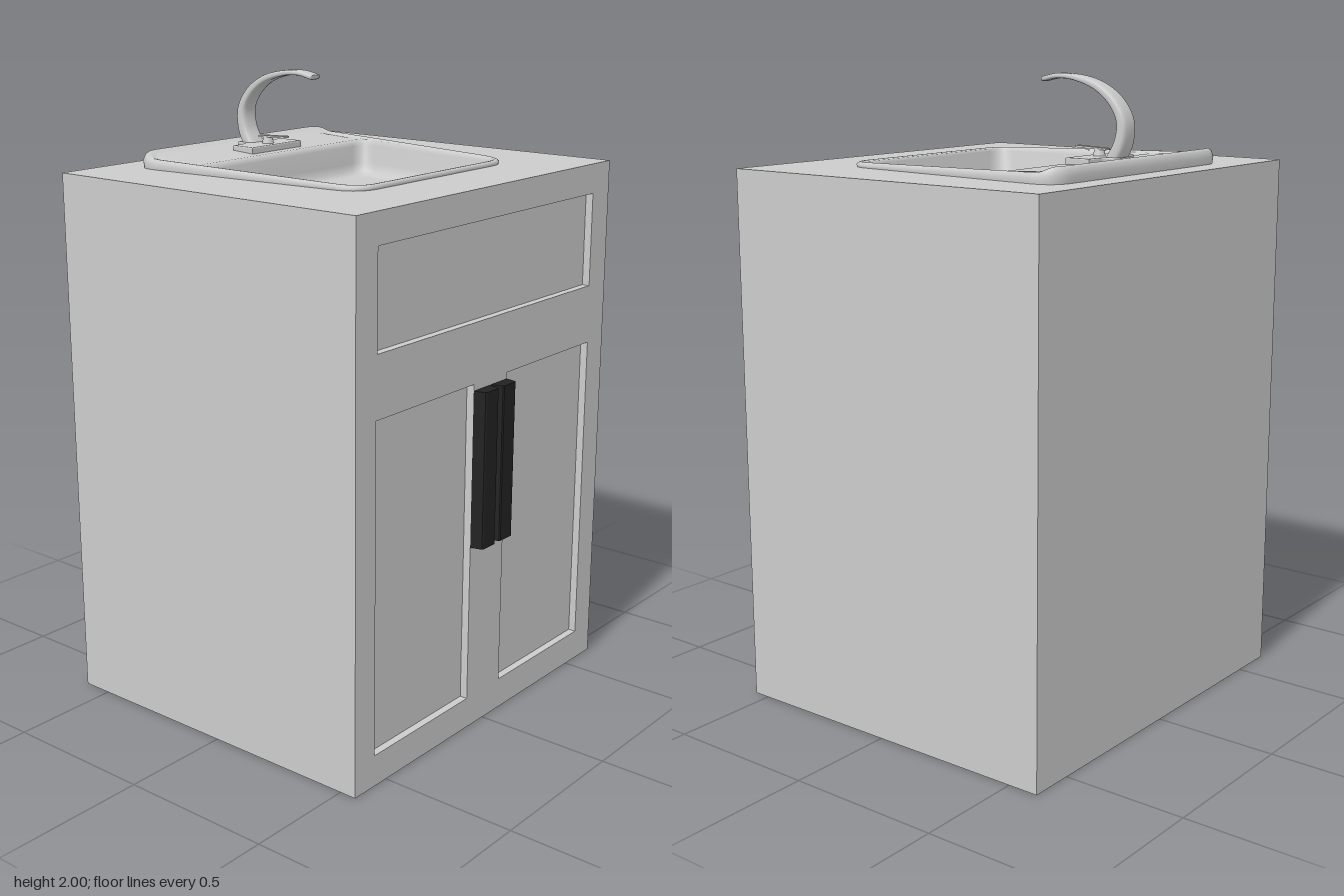
import * as THREE from 'three';

const grey = new THREE.MeshStandardMaterial({ color: 0xcccccc, side: THREE.DoubleSide });
const black = new THREE.MeshStandardMaterial({ color: 0x222222 });
const CZ = -0.014; // basin and faucet centre line
const TOP = 1.715; // counter height
const FACE = 0.53; // depth at which the recessed panels lie

function add(parent, name, geometry, material = grey) {
  const mesh = new THREE.Mesh(geometry, material);
  mesh.name = name;
  parent.add(mesh);
  return mesh;
}

function box(parent, name, x0, x1, y0, y1, z0, z1) {
  const g = new THREE.BoxGeometry(x1 - x0, y1 - y0, z1 - z0);
  g.translate((x0 + x1) / 2, (y0 + y1) / 2, (z0 + z1) / 2);
  return add(parent, name, g);
}

function rect(Type, x0, x1, y0, y1) {
  return new Type([[x0, y0], [x1, y0], [x1, y1], [x0, y1]].map(p => new THREE.Vector2(...p)));
}

// Skin through closed rings that share a point count
function loft(rings) {
  const n = rings[0].length, index = [];
  for (let j = 0; j < rings.length - 1; j++) {
    for (let i = 0; i < n; i++) {
      const a = j * n + i, b = j * n + (i + 1) % n;
      index.push(a, b, b + n, a, b + n, a + n);
    }
  }
  const g = new THREE.BufferGeometry().setFromPoints(rings.flat());
  g.setIndex(index);
  g.computeVertexNormals();
  return g;
}

// Rounded trapezoid: half width h0 at x0, h1 at x1, corner reach r
function outline(x0, x1, h0, h1, r) {
  const c = [[x0, h0], [x1, h1], [x1, -h1], [x0, -h0]].map(p => new THREE.Vector2(...p));
  const points = [];
  c.forEach((p, i) => {
    const toward = q => p.clone().add(q.clone().sub(p).setLength(r));
    const next = c[(i + 1) % 4];
    const end = toward(next);
    const nextStart = next.clone().add(p.clone().sub(next).setLength(r));
    points.push(...new THREE.QuadraticBezierCurve(toward(c[(i + 3) % 4]), p, end).getPoints(10));
    for (let k = 1; k < 16; k++) points.push(end.clone().lerp(nextStart, k / 16));
  });
  return points;
}

function buildCabinet(group) {
  box(group, 'lowerCarcass', -0.6, FACE, 0, 1.23, -0.645, 0.645);
  box(group, 'upperCarcass', -0.6, FACE, 1.23, 1.6, -0.645, 0.645);

  // Counter with an opening for the bowl
  const counter = rect(THREE.Shape, -0.6, FACE, -0.645, 0.645);
  counter.holes.push(new THREE.Path(
    outline(-0.48, 0.322, 0.425, 0.36, 0.06).map(p => new THREE.Vector2(p.x, -(p.y + CZ)))));
  const g = new THREE.ExtrudeGeometry(counter, { depth: TOP - 1.6, bevelEnabled: false });
  g.rotateX(-Math.PI / 2).translate(0, 1.6, 0);
  add(group, 'counter', g);

  // Frames around the recessed panels
  const fronts = [
    ['drawerFront', [-0.645, 0.645, 1.23, TOP], [-0.55, 0.55, 1.32, 1.62]],
    ['leftDoor', [0, 0.645, 0, 1.23], [0.088, 0.555, 0.1, 1.13]],
    ['rightDoor', [-0.645, 0, 0, 1.23], [-0.555, -0.088, 0.1, 1.13]],
  ];
  for (const [name, outer, inner] of fronts) {
    const shape = rect(THREE.Shape, ...outer);
    shape.holes.push(rect(THREE.Path, ...inner));
    const frame = new THREE.ExtrudeGeometry(shape, { depth: 0.025, bevelEnabled: false });
    frame.rotateY(Math.PI / 2).translate(FACE, 0, 0);
    add(group, name, frame);
  }

  // Pair of tapered upright handles
  for (const s of [1, -1]) {
    const shape = new THREE.Shape([[0.555, 0.003], [0.592, 0.012], [0.595, 0.016], [0.595, 0.074],
      [0.592, 0.079], [0.555, 0.088]].map(([x, z]) => new THREE.Vector2(x, z * s)));
    const handle = new THREE.ExtrudeGeometry(shape, { depth: 0.5, bevelEnabled: false });
    handle.rotateX(-Math.PI / 2).translate(0, 0.61, 0);
    add(group, 'doorHandle', handle, black);
  }
}

function buildBasin(group) {
  // Rim falls gently toward the front and lifts at the rear edge
  const rimTop = x => 1.737 - 0.022 * x + 0.016 * THREE.MathUtils.smoothstep(-x, 0.44, 0.49);
  const rim = t => x => TOP + (rimTop(x) - TOP) * t;
  const flat = y => () => y;
  const sections = [
    [-0.51, 0.335, 0.447, 0.374, 0.09, rim(0)],
    [-0.512, 0.337, 0.449, 0.376, 0.09, rim(0.45)],
    [-0.507, 0.333, 0.444, 0.371, 0.09, rim(0.85)],
    [-0.497, 0.328, 0.437, 0.365, 0.085, rim(1)],
    [-0.48, 0.322, 0.428, 0.36, 0.08, rim(0.97)],
    [-0.465, 0.318, 0.42, 0.356, 0.07, rim(0.82)],
    [-0.285, 0.314, 0.402, 0.352, 0.05, rim(0.78)],
    [-0.275, 0.309, 0.396, 0.347, 0.05, flat(1.718)],
    [-0.268, 0.298, 0.386, 0.337, 0.055, flat(1.66)],
    [-0.262, 0.288, 0.376, 0.328, 0.06, flat(1.635)],
    [-0.245, 0.272, 0.36, 0.312, 0.06, flat(1.623)],
    [-0.21, 0.24, 0.33, 0.28, 0.06, flat(1.62)],
  ];
  const rings = sections.map(([x0, x1, h0, h1, r, y]) =>
    outline(x0, x1, h0, h1, r).map(p => new THREE.Vector3(p.x, y(p.x), p.y + CZ)));
  rings.push(rings[0].map(() => new THREE.Vector3(0, 1.62, CZ)));
  add(group, 'basin', loft(rings));

  const ring = add(group, 'drainRing', new THREE.TorusGeometry(0.033, 0.005, 8, 32).rotateX(Math.PI / 2));
  ring.position.set(-0.155, 1.621, CZ);
  const plug = add(group, 'drainPlug', new THREE.CylinderGeometry(0.026, 0.028, 0.006, 32));
  plug.position.set(-0.155, 1.622, CZ);
}

function buildFaucet(group) {
  // Base plate with a tongue reaching back to the spout
  const plate = new THREE.Shape();
  plate.moveTo(-0.31, -0.117).lineTo(-0.395, -0.117).lineTo(-0.4, -0.06);
  plate.quadraticCurveTo(-0.405, -0.036, -0.45, -0.034).lineTo(-0.45, 0.034);
  plate.quadraticCurveTo(-0.405, 0.036, -0.4, 0.06).lineTo(-0.395, 0.117).lineTo(-0.31, 0.117);
  const g = new THREE.ExtrudeGeometry(plate, {
    depth: 0.022, bevelSize: 0.003, bevelThickness: 0.004, bevelOffset: -0.003, bevelSegments: 3 });
  g.rotateX(-Math.PI / 2).translate(0, 1.733, CZ);
  add(group, 'faucetPlate', g);

  // Curved spout, thinning toward the tip
  const path = new THREE.CatmullRomCurve3([[-0.405, 1.74], [-0.437, 1.8], [-0.442, 1.865], [-0.41, 1.92],
    [-0.35, 1.964], [-0.27, 1.988], [-0.2, 1.992], [-0.148, 1.982]].map(p => new THREE.Vector3(...p, CZ)));
  const rings = [], steps = 40, z = new THREE.Vector3(0, 0, 1);
  const ringAt = (t, scale) => {
    const c = path.getPointAt(t), T = path.getTangentAt(t);
    const N = new THREE.Vector3(T.y, -T.x, 0), B = T.clone().cross(N);
    const thick = THREE.MathUtils.lerp(0.023, 0.008, Math.min(1, t * 1.25)) * scale;
    const wide = THREE.MathUtils.lerp(0.036, 0.024, t) * scale;
    return Array.from({ length: 24 }, (_, i) => {
      const a = i / 24 * Math.PI * 2, soft = v => Math.sign(v) * Math.abs(v) ** 0.6;
      return c.clone().addScaledVector(N, thick * soft(Math.cos(a))).addScaledVector(B, wide * soft(Math.sin(a)));
    });
  };
  for (let j = 0; j <= steps; j++) rings.push(ringAt(j / steps, 1));
  rings.push(ringAt(1, 0.7), ringAt(1, 0));
  add(group, 'spout', loft(rings));

  // Lever on a short stem
  const stem = add(group, 'leverStem', new THREE.CylinderGeometry(0.014, 0.02, 0.025, 24));
  stem.position.set(-0.35, 1.768, CZ);
  const lever = box(group, 'lever', -0.055, 0.055, -0.003, 0.003, -0.012, 0.012);
  lever.position.set(-0.325, 1.782, CZ);
  lever.rotation.z = 0.04;
}

export function createModel() {
  const model = new THREE.Group();
  model.name = 'washstand';
  for (const [name, build] of [['cabinet', buildCabinet], ['sink', buildBasin], ['faucet', buildFaucet]]) {
    const part = new THREE.Group();
    part.name = name;
    build(part);
    model.add(part);
  }
  return model;
}
